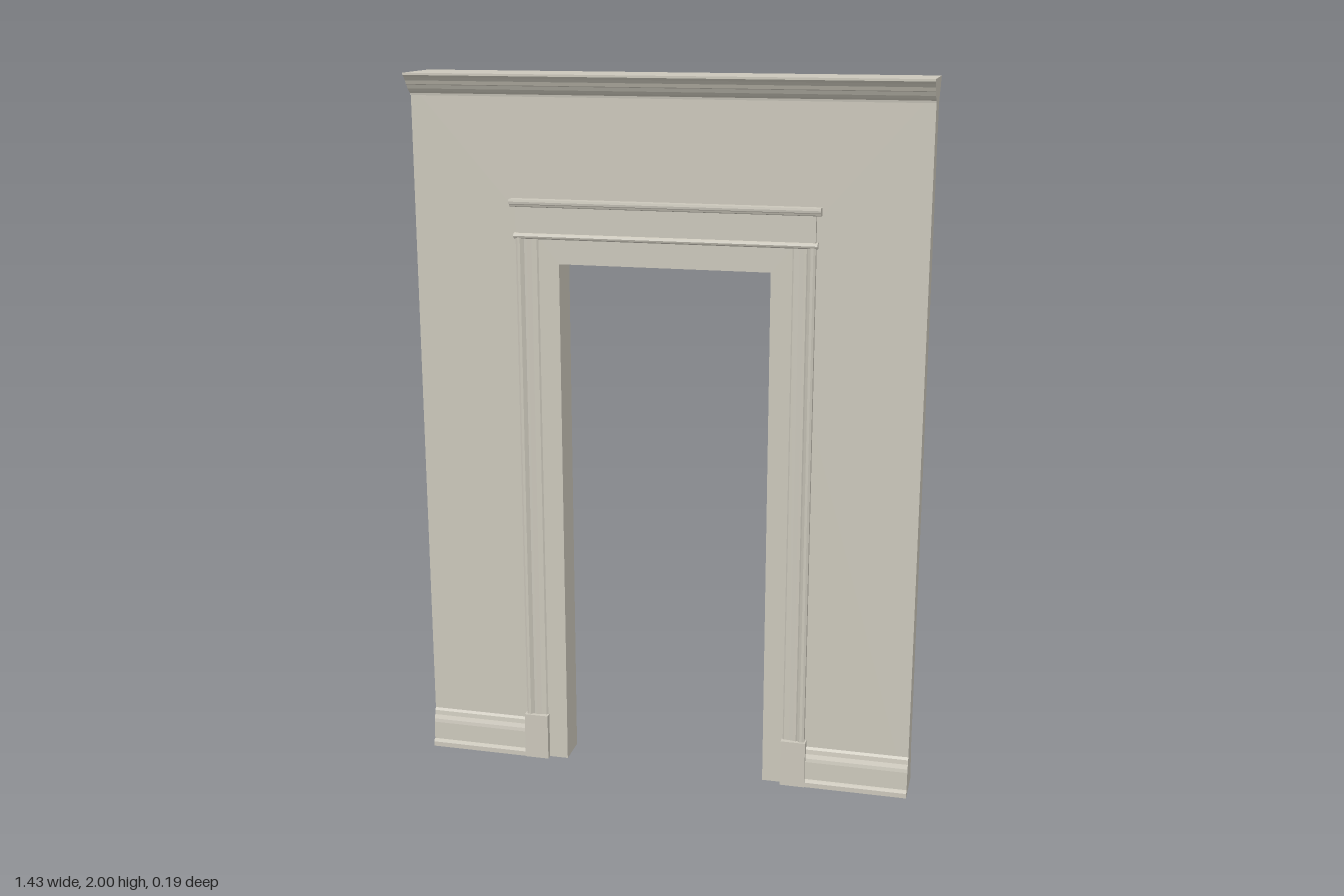
import * as THREE from 'three';

const plaster = new THREE.MeshStandardMaterial({ color: 0xcac6ba });
plaster.name = 'warm plaster';

// Closed shape from half a profile, mirrored front to back.
// Points are [depth, along]; swap gives a plan shape instead of a section.
function mirroredShape(half, plan = false) {
  const pts = [...half, ...half.map(([d, a]) => [-d, a]).reverse()];
  return new THREE.Shape(pts.map(([d, a]) => plan ? new THREE.Vector2(a, d) : new THREE.Vector2(d, a)));
}

function extrude(shape, depth) {
  return new THREE.ExtrudeGeometry(shape, { depth, bevelEnabled: false });
}

// Section (depth, height) run along x
function runAlongX(half, x0, x1) {
  return extrude(mirroredShape(half), x1 - x0).rotateY(Math.PI / 2).translate(x0, 0, 0);
}

// Plan (depth, x) raised along y
function runAlongY(half, y0, y1) {
  return extrude(mirroredShape(half, true), y1 - y0).rotateX(-Math.PI / 2).translate(0, y0, 0);
}

// Upside-down U around the doorway, centred on z
function archway(outerX, innerX, top, innerTop, halfDepth) {
  const s = new THREE.Shape([
    [-outerX, 0], [-innerX, 0], [-innerX, innerTop], [innerX, innerTop],
    [innerX, 0], [outerX, 0], [outerX, top], [-outerX, top],
  ].map(([x, y]) => new THREE.Vector2(x, y)));
  return extrude(s, halfDepth * 2).translate(0, 0, -halfDepth);
}

export function createModel() {
  const model = new THREE.Group();
  model.name = 'doorwayWall';
  const add = (name, geometry) => {
    const mesh = new THREE.Mesh(geometry, plaster);
    mesh.name = name;
    model.add(mesh);
  };

  const W = 0.713;

  // Wall with doorway and its lining
  add('wall', archway(W, 0.3, 1.97, 1.495, 0.041));
  add('doorLining', archway(0.37, 0.295, 1.58, 1.488, 0.048));

  // Crown moulding
  add('crownMoulding', runAlongX([
    [0.041, 1.938], [0.046, 1.938], [0.047, 1.944], [0.055, 1.949], [0.063, 1.957],
    [0.069, 1.967], [0.074, 1.969], [0.079, 1.979], [0.087, 1.988], [0.095, 1.994], [0.095, 2],
  ], -W, W));

  // Lintel board with a bead below and a cap above
  add('lintelBoard', runAlongX([[0.055, 1.56], [0.055, 1.65]], -0.415, 0.415));
  add('lintelBead', runAlongX([
    [0.055, 1.556], [0.06, 1.559], [0.062, 1.564], [0.06, 1.569], [0.055, 1.572],
  ], -0.421, 0.421));
  add('lintelCap', runAlongX([
    [0.055, 1.643], [0.066, 1.646], [0.068, 1.651], [0.073, 1.653],
    [0.074, 1.659], [0.073, 1.665],
  ], -0.429, 0.429));

  for (const [side, s] of [['left', 1], ['right', -1]]) {
    // Moulded door casing
    add(side + 'Casing', runAlongY([
      [0.048, 0.353], [0.052, 0.357], [0.052, 0.372], [0.055, 0.385], [0.056, 0.392],
      [0.052, 0.395], [0.056, 0.399], [0.06, 0.403], [0.06, 0.41], [0.056, 0.416],
    ].map(([d, x]) => [d, x * s]), 0.1, 1.562));

    // Plinth block at the foot of the casing
    add(side + 'Plinth', new THREE.BoxGeometry(0.071, 0.137, 0.132).translate(0.3855 * s, 0.0685, 0));

    // Baseboard
    const ends = [0.4 * s, W * s].sort((a, b) => a - b);
    add(side + 'Baseboard', runAlongX([
      [0.064, 0], [0.064, 0.014], [0.061, 0.02], [0.056, 0.022], [0.055, 0.075],
      [0.053, 0.085], [0.048, 0.097], [0.046, 0.11], [0.041, 0.117],
    ], ends[0], ends[1]));
  }

  return model;
}
